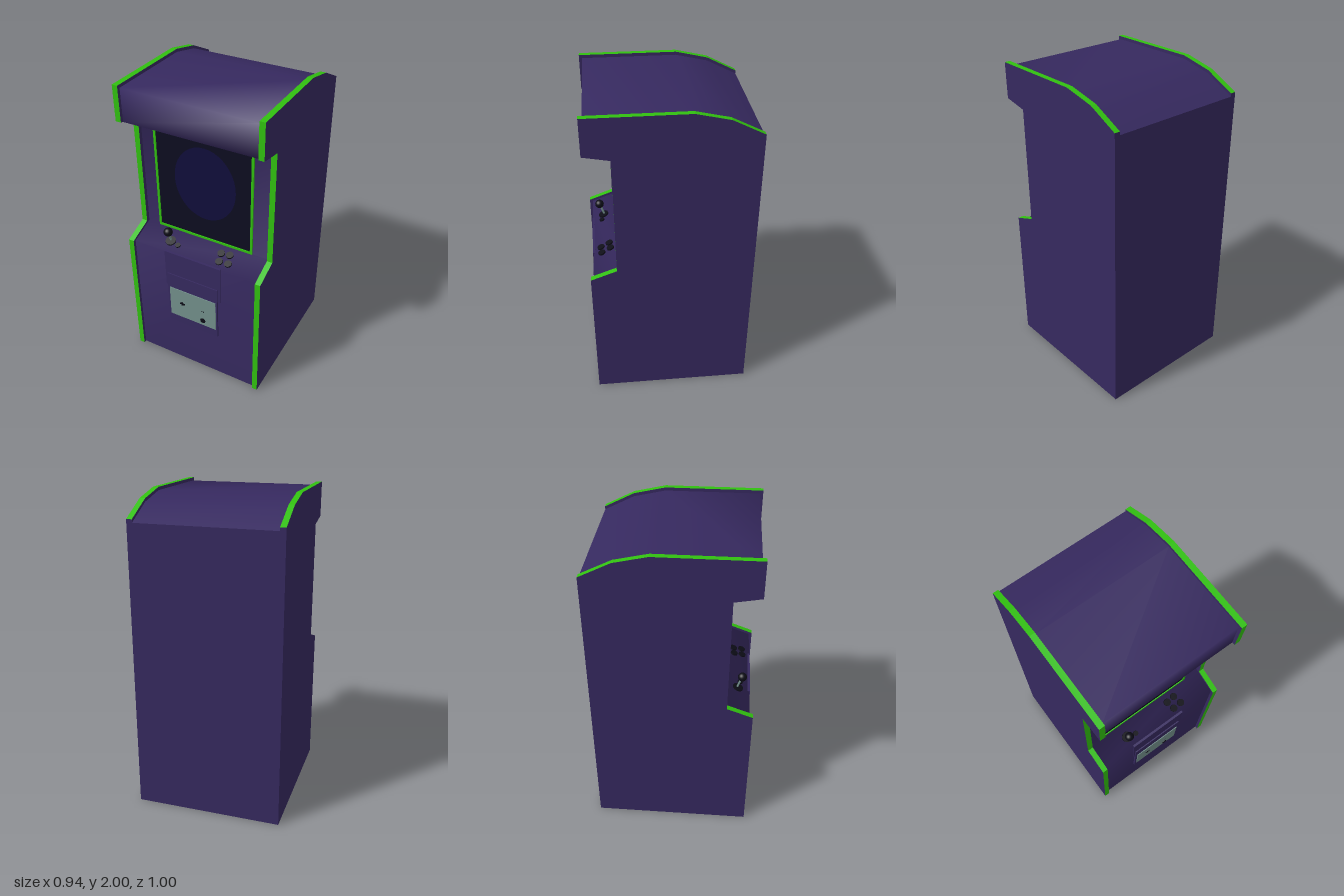
import * as THREE from 'three';

const mat = (name, color) => Object.assign(new THREE.MeshStandardMaterial({ color }), { name });

export function createModel() {
  const purple = mat('cabinet purple', 0x36295f);
  const green = mat('trim green', 0x31c010);
  const glass = mat('screen black', 0x0c0c20);
  const glow = mat('screen blue', 0x100d3a);
  const metal = mat('coin plate grey', 0x728f8b);
  const black = mat('control black', 0x0c0c16);

  const root = new THREE.Group();
  root.name = 'arcadeCabinet';
  const add = (name, geo, material, x = 0, y = 0, z = 0, parent = root) => {
    const m = new THREE.Mesh(geo, material);
    m.name = name;
    m.position.set(x, y, z);
    parent.add(m);
    return m;
  };
  // Thin plate given by its front-view rectangle and depth range
  const plate = (name, material, x0, x1, y0, y1, z0, z1) =>
    add(name, new THREE.BoxGeometry(x1 - x0, y1 - y0, z1 - z0), material,
      (x0 + x1) / 2, (y0 + y1) / 2, (z0 + z1) / 2);

  // Side panels: purple faces, green front and top edges (profile is [z, y])
  const profile = [[0.5, 0], [0.5, 0.925], [0.34, 0.985], [0.34, 1.745], [0.5, 1.775],
    [0.5, 2], [-0.11, 2], [-0.31, 1.955], [-0.5, 1.86], [-0.5, 0]];
  const thick = 0.036;
  const sideGeo = new THREE.ExtrudeGeometry(
    new THREE.Shape(profile.map(([z, y]) => new THREE.Vector2(-z, y))),
    { depth: thick, bevelEnabled: false });
  sideGeo.rotateY(Math.PI / 2);
  sideGeo.clearGroups();
  const pos = sideGeo.attributes.position, nor = sideGeo.attributes.normal;
  for (let i = 0; i < pos.count; i += 3) {
    const tri = [i, i + 1, i + 2];
    const plain = Math.abs(nor.getX(i)) > 0.5 ||
      tri.every(k => pos.getZ(k) < -0.49) || tri.every(k => pos.getY(k) < 0.01);
    sideGeo.addGroup(i, 3, plain ? 0 : 1);
  }
  add('leftSidePanel', sideGeo, [purple, green], 0.47 - thick);
  add('rightSidePanel', sideGeo, [purple, green], -0.47);

  // Body shell between the panels: a strip swept across x
  const strip = (pts, w) => {
    const v = [], idx = [];
    pts.forEach(([z, y], i) => {
      v.push(-w, y, z, w, y, z);
      const a = 2 * i;
      if (i < pts.length - 1) idx.push(a, a + 1, a + 3, a, a + 3, a + 2);
    });
    const g = new THREE.BufferGeometry();
    g.setAttribute('position', new THREE.Float32BufferAttribute(v, 3));
    g.setIndex(idx);
    g.computeVertexNormals();
    return g;
  };
  const w = 0.436;
  add('frontAndTopShell', strip([[0.48, 0], [0.48, 0.915], [0.315, 0.977], [0.315, 1.768],
    [0.48, 1.77], [0.48, 1.98], [-0.11, 1.98], [-0.31, 1.935], [-0.5, 1.84]], w), purple);
  add('backPanel', strip([[-0.5, 1.84], [-0.5, 0]], w), purple);
  add('basePanel', strip([[-0.5, 0], [0.48, 0]], w), purple);

  // Screen with green frame
  const rect = (P, x0, x1, y0, y1) => new P([[x0, y0], [x1, y0], [x1, y1], [x0, y1]]
    .map(([x, y]) => new THREE.Vector2(x, y)));
  const frame = rect(THREE.Shape, -0.345, 0.325, 0.98, 1.76);
  frame.holes.push(rect(THREE.Path, -0.33, 0.31, 0.995, 1.745));
  add('screenFrame', new THREE.ExtrudeGeometry(frame, { depth: 0.01, bevelEnabled: false }),
    green, 0, 0, 0.315);
  plate('screen', glass, -0.331, 0.311, 0.994, 1.746, 0.313, 0.319);
  const disc = add('screenGlow', new THREE.CircleGeometry(1, 40), glow, 0, 1.385, 0.321);
  disc.scale.set(0.21, 0.25, 1);

  // Controls, laid out on the sloping panel
  const tilt = 0.36;
  const panelY = z => 0.915 + (0.48 - z) * 0.376;
  const button = (name, x, z, r, h) => {
    const b = add(name, new THREE.CylinderGeometry(r, r, h, 16), black, x, panelY(z), z);
    b.rotation.x = tilt;
  };
  [[0.14, 0.376], [0.197, 0.37], [0.155, 0.43], [0.215, 0.426]]
    .forEach(([x, z]) => button('actionButton', x, z, 0.024, 0.02));
  button('startButton', -0.15, 0.418, 0.017, 0.018);
  button('joystickBase', -0.21, 0.405, 0.034, 0.018);
  const stick = add('joystickShaft', new THREE.CylinderGeometry(0.007, 0.007, 0.1, 10), metal,
    -0.21, 0.985, 0.413);
  stick.rotation.x = 0.33;
  add('joystickBall', new THREE.SphereGeometry(0.029, 20, 14), black, -0.21, 1.032, 0.43);

  // Coin door and its plate
  plate('upperServicePanel', purple, -0.21, 0.19, 0.65, 0.92, 0.47, 0.485);
  plate('coinDoor', purple, -0.195, 0.17, 0.345, 0.75, 0.47, 0.492);
  plate('coinPlate', metal, -0.18, 0.16, 0.41, 0.64, 0.489, 0.497);
  plate('coinSlot', black, -0.105, -0.07, 0.525, 0.536, 0.495, 0.499);
  plate('coinSlotBar', black, -0.094, -0.082, 0.516, 0.544, 0.495, 0.499);
  [0.06, 0.072].forEach(x => plate('rivet', black, x - 0.003, x + 0.003, 0.526, 0.532, 0.495, 0.499));
  const lock = add('lock', new THREE.CylinderGeometry(0.019, 0.019, 0.004, 12), black,
    0.065, 0.45, 0.498);
  lock.rotation.x = Math.PI / 2;

  return root;
}
